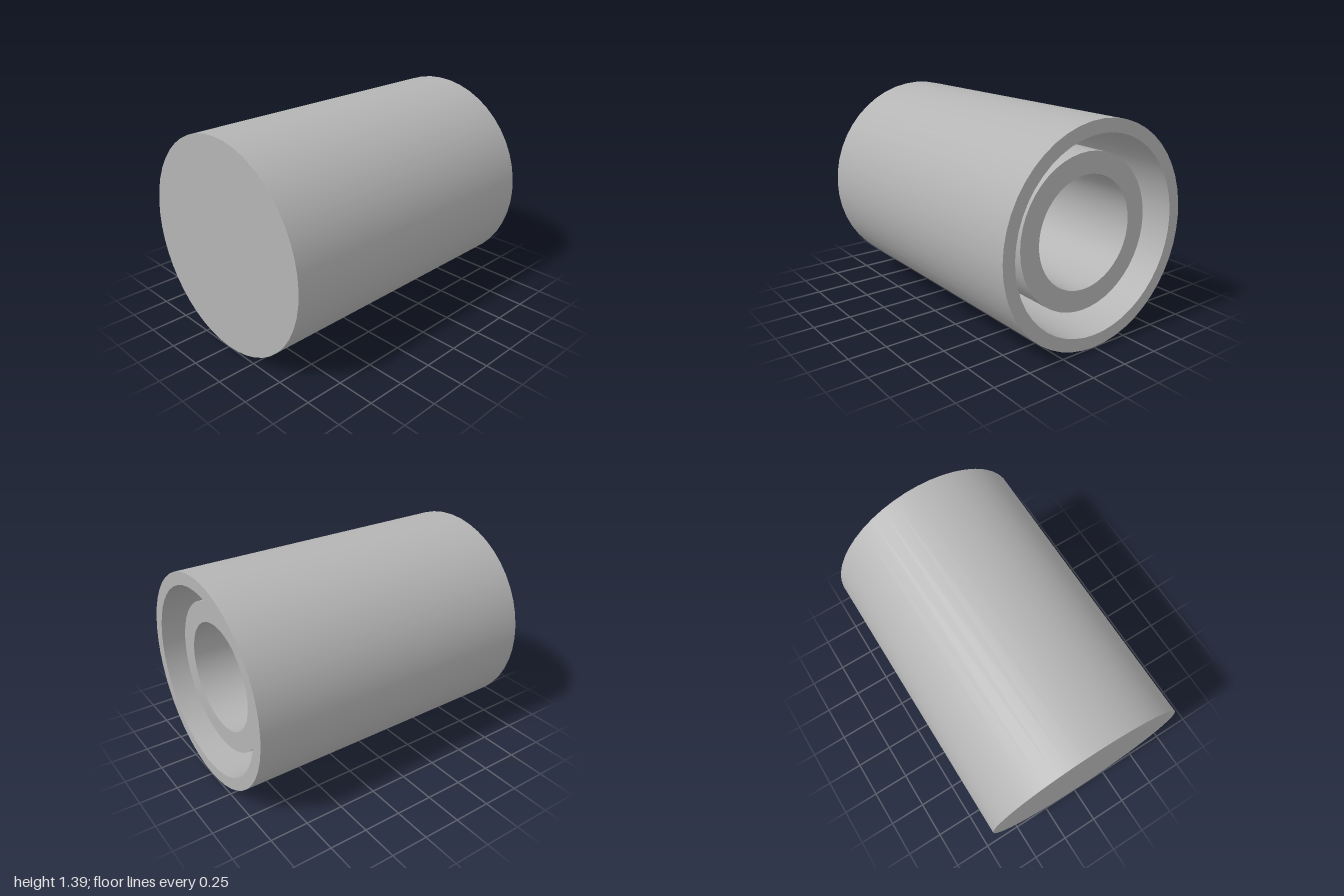
import * as THREE from 'three';
import { mergeGeometries } from 'three/addons/utils/BufferGeometryUtils.js';

const SEGMENTS = 48;
const RADIUS = 0.695;      // outer shell
const SHELL_INNER = 0.613;
const TUBE_OUTER = 0.491;
const TUBE_BORE = 0.356;
const BACK = -1, FRONT = 1;
const TUBE_BACK = -0.89;   // tube end sits inside the shell
const FLOOR = 0.92;        // inner face of the closed front

// Revolve a [radius, z] profile about z, keeping each corner sharp
function revolve(profile) {
  const bands = profile.slice(1).map((p, i) =>
    new THREE.LatheGeometry([new THREE.Vector2(...profile[i]), new THREE.Vector2(...p)], SEGMENTS));
  return mergeGeometries(bands).rotateX(Math.PI / 2);
}

export function createModel() {
  const group = new THREE.Group();
  const grey = new THREE.MeshStandardMaterial({ color: 0xb4b4b4 });
  grey.name = 'grey';

  const add = (name, profile) => {
    const mesh = new THREE.Mesh(revolve(profile), grey);
    mesh.name = name;
    mesh.position.y = RADIUS;
    group.add(mesh);
  };

  // Outer cup: open at the back, closed at the front
  add('outerShell', [
    [TUBE_OUTER, FLOOR], [SHELL_INNER, FLOOR], [SHELL_INNER, BACK],
    [RADIUS, BACK], [RADIUS, FRONT], [0, FRONT],
  ]);

  // Concentric inner tube with a blind bore
  add('innerTube', [
    [0, FLOOR], [TUBE_BORE, FLOOR], [TUBE_BORE, TUBE_BACK],
    [TUBE_OUTER, TUBE_BACK], [TUBE_OUTER, FLOOR],
  ]);

  return group;
}
